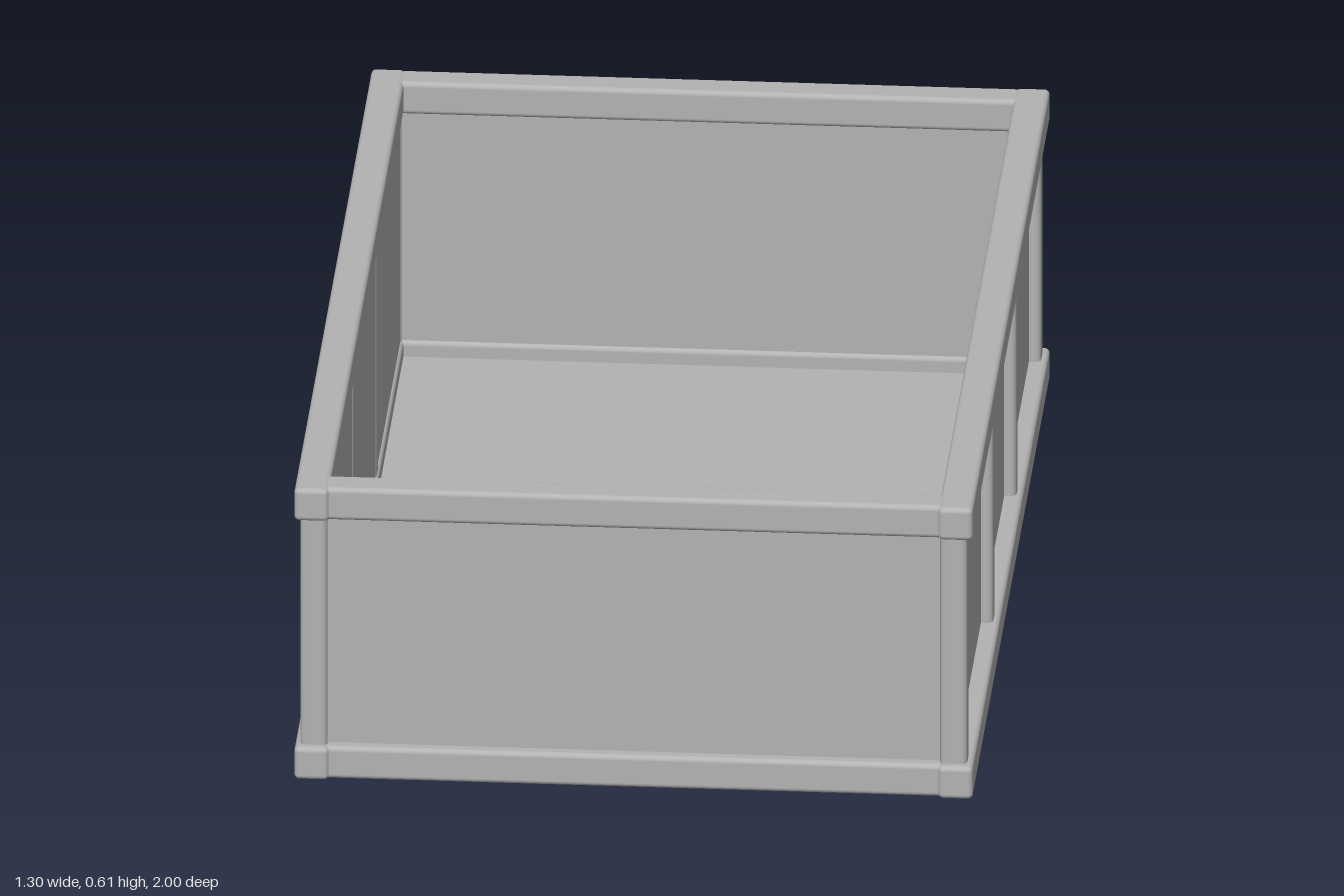
import * as THREE from 'three';
import { RoundedBoxGeometry } from 'three/addons/geometries/RoundedBoxGeometry.js';

export function createModel() {
  const group = new THREE.Group();
  group.name = 'openCrate';
  const grey = new THREE.MeshStandardMaterial({ name: 'grey', color: 0xb3b3b3 });

  // Box given by its min and max corners, with optional rounded edges
  function block(name, [x0, y0, z0], [x1, y1, z1], radius = 0) {
    const w = x1 - x0, h = y1 - y0, d = z1 - z0;
    const geometry = radius
      ? new RoundedBoxGeometry(w, h, d, 3, radius)
      : new THREE.BoxGeometry(w, h, d);
    const mesh = new THREE.Mesh(geometry, grey);
    mesh.name = name;
    mesh.position.set((x0 + x1) / 2, (y0 + y1) / 2, (z0 + z1) / 2);
    group.add(mesh);
  }

  // Bottom and top frames: full-length side rails with shorter end rails between
  for (const [level, y] of [['bottom', 0], ['top', 0.54]]) {
    const top = y + 0.067;
    block(level + 'LeftRail', [0.584, y, -1], [0.65, top, 1], 0.01);
    block(level + 'RightRail', [-0.65, y, -1], [-0.584, top, 1], 0.01);
    block(level + 'FrontRail', [-0.594, y, 0.925], [0.594, top, 0.991], 0.01);
    block(level + 'BackRail', [-0.594, y, -0.997], [0.594, top, -0.933], 0.01);
  }

  // Four rounded posts along each side
  for (const [side, x] of [['left', 0.612], ['right', -0.614]]) {
    [0.956, 0.286, -0.315, -0.951].forEach((z, i) => {
      block(side + 'Post' + (i + 1), [x - 0.026, 0.05, z - 0.026], [x + 0.026, 0.56, z + 0.026], 0.012);
    });
  }

  // Wall panels, slightly recessed behind the posts
  block('leftPanel', [0.59, 0.03, -0.95], [0.615, 0.57, 0.95]);
  block('rightPanel', [-0.615, 0.03, -0.95], [-0.59, 0.57, 0.95]);
  block('frontPanel', [-0.6, 0.03, 0.94], [0.6, 0.57, 0.967]);
  block('backPanel', [-0.6, 0.03, -0.967], [0.6, 0.57, -0.94]);

  // Floor
  block('floor', [-0.6, 0.01, -0.95], [0.6, 0.035, 0.95]);

  return group;
}
